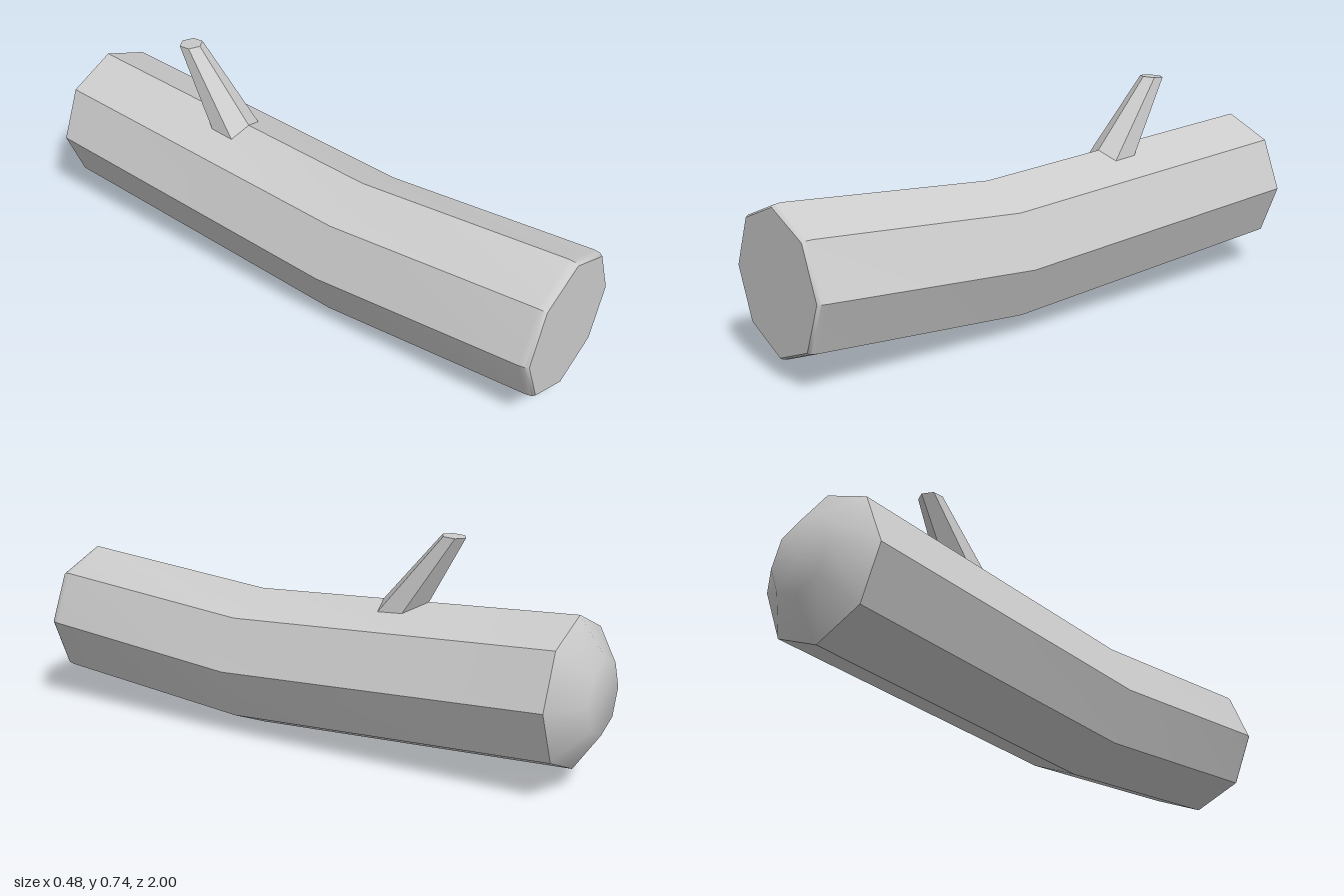
import * as THREE from 'three';
import { toCreasedNormals } from 'three/addons/utils/BufferGeometryUtils.js';

// Joins regular-polygon rings (corner lists) into a closed solid with capped ends.
function loft(rings, creaseAngle) {
  const n = rings[0].length;
  const pos = [];
  const tri = (a, b, c) => pos.push(...a, ...b, ...c);
  const centre = (ring) => [0, 1, 2].map((k) => ring.reduce((s, p) => s + p[k], 0) / n);
  const first = rings[0], last = rings[rings.length - 1];
  const c0 = centre(first), c1 = centre(last);
  for (let i = 0; i < n; i++) {
    const j = (i + 1) % n;
    for (let r = 0; r < rings.length - 1; r++) {
      const a = rings[r], b = rings[r + 1];
      tri(a[i], a[j], b[j]);
      tri(a[i], b[j], b[i]);
    }
    tri(c0, first[j], first[i]);
    tri(c1, last[i], last[j]);
  }
  const geo = new THREE.BufferGeometry();
  geo.setAttribute('position', new THREE.Float32BufferAttribute(pos, 3));
  return toCreasedNormals(geo, creaseAngle);
}

// Upright octagon across the log, counter-clockwise seen from +z.
function logRing(z, y, r) {
  return Array.from({ length: 8 }, (_, i) => {
    const a = Math.PI / 2 + (i * Math.PI) / 4;
    return [r * Math.cos(a), y + r * Math.sin(a), z];
  });
}

// Nearly level hexagon across the branch, counter-clockwise seen from above.
function branchRing(y, z, r) {
  return Array.from({ length: 6 }, (_, i) => {
    const a = (i * Math.PI) / 3;
    const dz = r * Math.cos(a);
    return [r * Math.sin(a), y + dz * 0.07, z + dz];
  });
}

export function createModel() {
  const group = new THREE.Group();
  const material = new THREE.MeshStandardMaterial({ color: 0xcccccc });
  const add = (name, geometry) => {
    const mesh = new THREE.Mesh(geometry, material);
    mesh.name = name;
    group.add(mesh);
  };

  // Bent log: domed back end, sagging middle, slightly bevelled front end
  add('log', loft([
    logRing(-1, 0.31, 0.12),
    logRing(-0.915, 0.307, 0.24),
    logRing(0.23, 0.243, 0.24),
    logRing(0.97, 0.305, 0.24),
    logRing(0.99, 0.306, 0.237),
    logRing(1, 0.306, 0.23),
  ], 0.7));

  // Tapered branch stub leaning backwards
  add('branch', loft([
    branchRing(0.45, -0.285, 0.085),
    branchRing(0.738, -0.495, 0.04),
  ], 0.5));

  return group;
}
